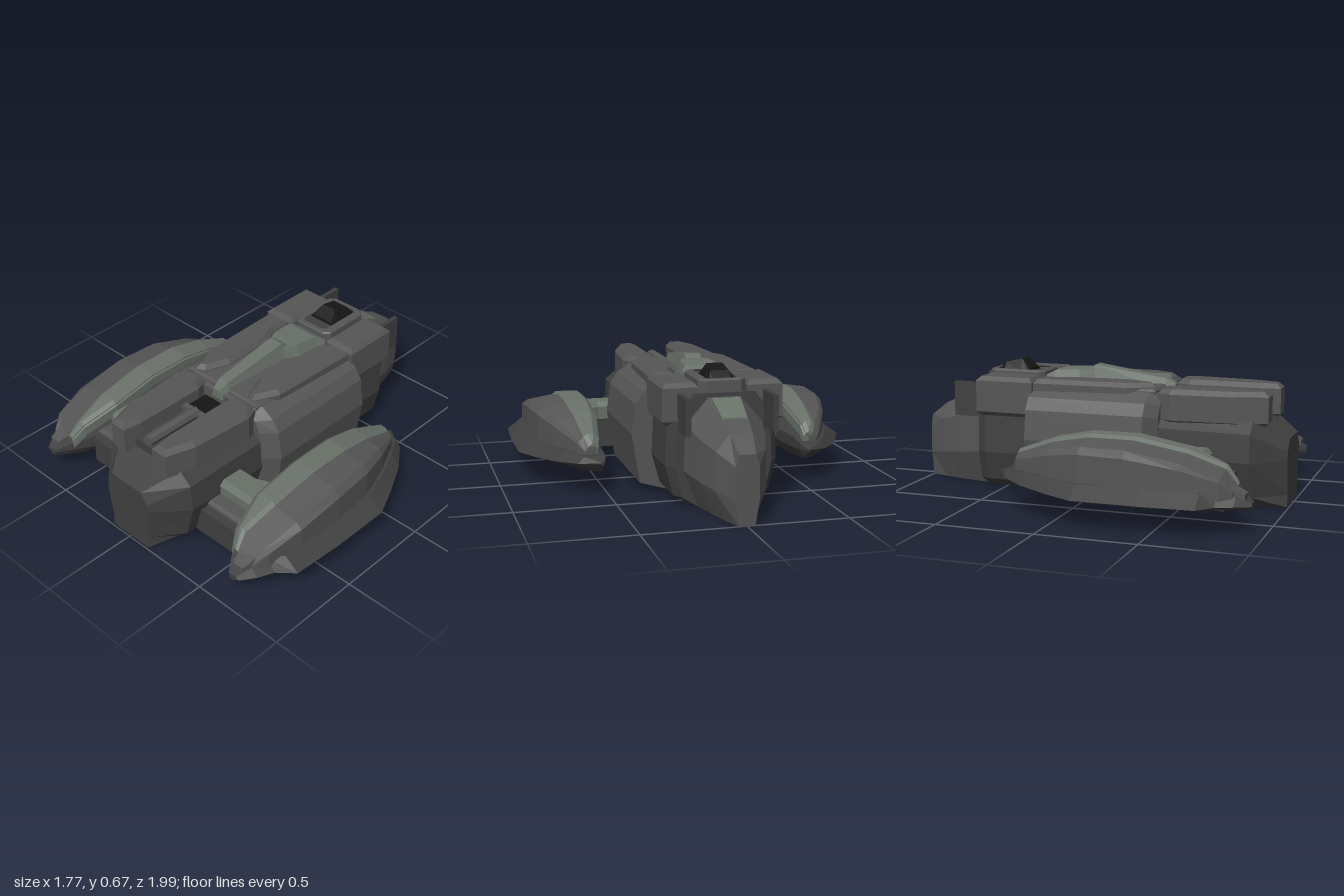
import * as THREE from 'three';

const mat = (color) => new THREE.MeshStandardMaterial({ color, flatShading: true, side: THREE.DoubleSide });

export function createModel() {
  const root = new THREE.Group();
  const hull = mat(0x555555), dark = mat(0x404040), trim = mat(0x687068), black = mat(0x161616);

  const add = (name, geo, material) => {
    const m = new THREE.Mesh(geo, material);
    m.name = name;
    root.add(m);
    return m;
  };

  // Skin between rings of [x, y] points; each section is [z, ring], z rising
  const loft = (sections) => {
    const pos = [];
    const rings = sections.map(([z, ring]) => ring.map(([x, y]) => [x, y, z]));
    const r0 = rings[0], n = r0.length;
    let area = 0;
    r0.forEach((p, i) => { const q = r0[(i + 1) % n]; area += p[0] * q[1] - q[0] * p[1]; });
    if (area < 0) rings.forEach((r) => r.reverse());
    const tri = (a, b, c) => pos.push(...a, ...b, ...c);
    for (let s = 0; s < rings.length - 1; s++) {
      const a = rings[s], b = rings[s + 1];
      for (let i = 0; i < n; i++) {
        const j = (i + 1) % n;
        tri(a[i], a[j], b[j]);
        tri(a[i], b[j], b[i]);
      }
    }
    const last = rings[rings.length - 1];
    for (let i = 1; i < n - 1; i++) {
      tri(rings[0][0], rings[0][i + 1], rings[0][i]);
      tri(last[0], last[i], last[i + 1]);
    }
    const g = new THREE.BufferGeometry();
    g.setAttribute('position', new THREE.Float32BufferAttribute(pos, 3));
    g.computeVertexNormals();
    return g;
  };
  // Half profile, bottom to top, closed by its mirror image
  const sym = (half) => [...half, ...half.slice().reverse().map(([x, y]) => [-x, y])];

  // Bevelled plate from a plan outline of [x, z] points
  const slab = (outline, y0, y1, bevel, side = 1, holes = []) => {
    const pts = (o) => o.map(([x, z]) => new THREE.Vector2(x * side, -z));
    const shape = new THREE.Shape(pts(outline));
    holes.forEach((h) => shape.holes.push(new THREE.Path(pts(h))));
    const g = new THREE.ExtrudeGeometry(shape, {
      depth: y1 - y0 - 2 * bevel, bevelEnabled: bevel > 0, bevelSegments: 1,
      bevelSize: bevel, bevelThickness: bevel, bevelOffset: -bevel,
    });
    return g.rotateX(-Math.PI / 2).translate(0, y0 + bevel, 0);
  };
  const box = (x0, x1, y0, y1, z0, z1) => new THREE.BoxGeometry(x1 - x0, y1 - y0, z1 - z0)
    .translate((x0 + x1) / 2, (y0 + y1) / 2, (z0 + z1) / 2);

  // Nose: flat sided wedge with a bevelled top
  const nose = (z, w, shoulder, flat, top, base) =>
    [z, sym([[base, 0], [w, shoulder * 0.45], [w * 0.95, shoulder], [flat, top]])];
  add('nose', loft([
    nose(-1, 0.06, 0.28, 0.04, 0.335, 0.04),
    nose(-0.9, 0.125, 0.33, 0.055, 0.41, 0.07),
    nose(-0.78, 0.165, 0.36, 0.07, 0.46, 0.1),
    nose(-0.61, 0.205, 0.41, 0.08, 0.54, 0.13),
  ]), hull);
  add('nosePanel', loft([
    [-0.8, sym([[0.06, 0.43], [0.06, 0.462]])],
    [-0.66, sym([[0.07, 0.5], [0.07, 0.532]])],
  ]), trim);

  // Forward hull under the cockpit
  const neck = sym([[0.15, 0], [0.24, 0.05], [0.28, 0.2], [0.27, 0.42], [0.17, 0.55]]);
  add('forwardHull', loft([
    [-0.63, neck.map(([x, y]) => [x * 0.86, y])], [-0.58, neck], [-0.3, neck],
  ]), dark);

  // Wide middle hull
  const mid = sym([[0.17, 0], [0.34, 0.05], [0.38, 0.3], [0.36, 0.45], [0.32, 0.51], [0.25, 0.555]]);
  const midEnd = mid.map(([x, y]) => [x * 0.8, y * 0.98]);
  add('middleHull', loft([[-0.31, mid], [0.31, mid], [0.37, midEnd]]), hull);

  // Rear hull tapering to the thruster face
  const rear = (z, s, top) => [z, sym([[0.17 * (s + 1) / 2, 0], [0.24 * s, 0.06],
    [0.29 * s, 0.24], [0.28 * s, top - 0.06], [0.21 * s, top]])];
  add('rearHull', loft([rear(0.3, 1.05, 0.45), rear(0.83, 1, 0.44), rear(0.99, 0.5, 0.34)]), dark);

  // Thrusters and centre exhaust pipe
  for (const s of [-1, 1]) {
    add('thrusterRing', new THREE.TorusGeometry(0.045, 0.013, 4, 12).translate(s * 0.1, 0.265, 0.975), dark);
    add('thrusterHousing', new THREE.CylinderGeometry(0.05, 0.055, 0.1, 12)
      .rotateX(Math.PI / 2).translate(s * 0.1, 0.265, 0.925), dark);
    add('thrusterBar', box(s * 0.1 - 0.007, s * 0.1 + 0.007, 0.215, 0.315, 0.97, 0.985), black);
  }
  add('centrePipe', new THREE.CylinderGeometry(0.03, 0.03, 0.32, 8)
    .rotateX(Math.PI / 2).translate(0, 0.51, 0.68), hull);
  add('rearDeck', box(-0.1, 0.1, 0.42, 0.48, 0.38, 0.84), dark);
  add('ventSlot', box(-0.08, 0.08, 0.46, 0.5, 0.38, 0.51), black);
  add('ventSill', box(-0.08, 0.08, 0.46, 0.52, 0.51, 0.54), hull);

  // Centre spine: front plate and a ridge sloping to the back
  const wedge = (w, y, top, t) => sym([[w, y], [t, top]]);
  add('spinePlate', loft([
    [-0.29, wedge(0.13, 0.54, 0.6, 0.12)], [-0.25, wedge(0.12, 0.54, 0.622, 0.09)],
    [-0.12, wedge(0.11, 0.54, 0.628, 0.08)], [-0.05, wedge(0.07, 0.54, 0.628, 0.05)],
  ]), trim);
  add('spineRidge', loft([
    [-0.09, wedge(0.07, 0.54, 0.63, 0.04)], [-0.05, wedge(0.07, 0.54, 0.652, 0.04)],
    [0.33, wedge(0.05, 0.54, 0.598, 0.03)], [0.38, wedge(0.035, 0.52, 0.57, 0.02)],
  ]), trim);
  add('topDeck', slab([[-0.28, -0.3], [0.28, -0.3], [0.24, 0.34], [-0.24, 0.34]], 0.5, 0.57, 0.012), hull);

  // Cockpit: frame with a hole, dark tub, canopy and rear block
  const oct = (w, z0, z1, c) => [[-w + c, z0], [w - c, z0], [w, z0 + c], [w, z1 - c],
    [w - c, z1], [-w + c, z1], [-w, z1 - c], [-w, z0 + c]];
  add('cockpitFrame', slab(oct(0.118, -0.62, -0.31, 0.03), 0.53, 0.615, 0.008, 1,
    [oct(0.085, -0.6, -0.33, 0.02)]), hull);
  add('cockpitTub', box(-0.09, 0.09, 0.53, 0.575, -0.6, -0.33), black);
  const dome = (z, w, y, t) => [z, sym([[w, 0.56], [w, 0.6], [t, y]])];
  add('canopy', loft([dome(-0.59, 0.065, 0.605, 0.05), dome(-0.55, 0.08, 0.645, 0.045),
    dome(-0.46, 0.08, 0.667, 0.04), dome(-0.41, 0.08, 0.615, 0.06)]), black);
  add('seatBack', box(-0.075, 0.075, 0.55, 0.6, -0.41, -0.33), dark);

  for (const s of [-1, 1]) {
    const side = s > 0 ? 'left' : 'right';
    const flip = (ring) => ring.map(([x, y]) => [x * s, y]);

    // Long raised deck panels and rear deck pods
    add(side + 'DeckPanel', slab([[0.15, -0.3], [0.28, -0.3], [0.265, 0.2], [0.2, 0.33],
      [0.15, 0.31], [0.1, 0.18], [0.11, -0.1], [0.15, -0.2]], 0.5, 0.597, 0.022, s), hull);
    add(side + 'RearPod', slab([[0.11, 0.35], [0.24, 0.35], [0.265, 0.42], [0.24, 0.75], [0.19, 0.9],
      [0.1, 0.9], [0.085, 0.8], [0.085, 0.42]], 0.4, 0.577, 0.024, s), hull);

    // Cheek boxes beside the cockpit, and forward blades
    add(side + 'CheekBox', slab([[0.12, -0.61], [0.3, -0.61], [0.3, -0.3], [0.12, -0.3]],
      0.395, 0.6, 0.022, s), hull);
    add(side + 'Blade', box(0.2, 0.225, 0.375, 0.555, -0.77, -0.58).translate(s > 0 ? 0 : -0.425, 0, 0), dark);

    // Strut out to the side pod
    add(side + 'StrutBase', slab([[0.2, 0.5], [0.52, 0.5], [0.52, 0.77], [0.2, 0.77]], 0.055, 0.2, 0, s), dark);
    add(side + 'StrutTop', slab([[0.25, 0.49], [0.39, 0.49], [0.5, 0.44], [0.54, 0.44],
      [0.54, 0.65], [0.25, 0.65]], 0.19, 0.308, 0.025, s), trim);
    add(side + 'StrutPipe', slab([[0.25, 0.62], [0.53, 0.62], [0.53, 0.73], [0.25, 0.73]], 0.19, 0.235, 0.015, s), hull);

    // Side pod skirt: z, inner x, outer x, edge height, bottom height
    const skirt = [
      [-0.36, 0.53, 0.55, 0.175, 0.165], [-0.3, 0.51, 0.65, 0.165, 0.12],
      [-0.18, 0.51, 0.74, 0.155, 0.1], [-0.02, 0.51, 0.82, 0.145, 0.08],
      [0.13, 0.51, 0.885, 0.14, 0.07], [0.45, 0.51, 0.885, 0.14, 0.07],
      [0.72, 0.51, 0.87, 0.14, 0.085], [0.79, 0.54, 0.79, 0.14, 0.09],
      [0.87, 0.59, 0.755, 0.14, 0.1], [0.94, 0.64, 0.7, 0.135, 0.115],
    ];
    add(side + 'PodSkirt', loft(skirt.map(([z, xi, xo, e, b]) => {
      const w = xo - xi;
      return [z, flip([[xi, e], [xi + w * 0.15, b], [xi + w * 0.35, b], [xo, e],
        [xo - w * 0.22, e + 0.06 * Math.min(1, w * 4)], [xi, e + 0.06 * Math.min(1, w * 4)]])];
    })), dark);

    // Side pod shell and ridge: z, inner x, ridge x, outer x, top height
    const shell = [
      [-0.27, 0.55, 0.59, 0.61, 0.24], [-0.24, 0.54, 0.61, 0.64, 0.285],
      [-0.05, 0.515, 0.625, 0.73, 0.355], [0.13, 0.51, 0.635, 0.785, 0.39],
      [0.36, 0.51, 0.635, 0.805, 0.39], [0.62, 0.51, 0.63, 0.8, 0.345],
      [0.8, 0.555, 0.61, 0.765, 0.28], [0.86, 0.59, 0.62, 0.73, 0.21],
    ];
    add(side + 'PodShell', loft(shell.map(([z, xi, xr, xo, t]) => [z, flip([[xi, 0.14], [xo, 0.14],
      [xo, 0.14 + (t - 0.14) * 0.78], [xo - 0.2 * (xo - xr), t - 0.022], [xr, t], [xi, t]])])), hull);
    add(side + 'PodRidge', loft(shell.map(([z, xi, xr, , t]) => [z, flip([[xi - 0.008, t - 0.06],
      [xr, t - 0.06], [xr, t], [xr - 0.02, t + 0.016], [xi + 0.02, t + 0.016], [xi - 0.008, t - 0.01]])])), trim);
    add(side + 'PodNozzle', loft([
      [0.78, flip([[0.6, 0.13], [0.73, 0.13], [0.73, 0.24], [0.6, 0.24]])],
      [0.91, flip([[0.64, 0.14], [0.7, 0.14], [0.7, 0.19], [0.64, 0.19]])],
    ]), hull);
  }
  return root;
}
